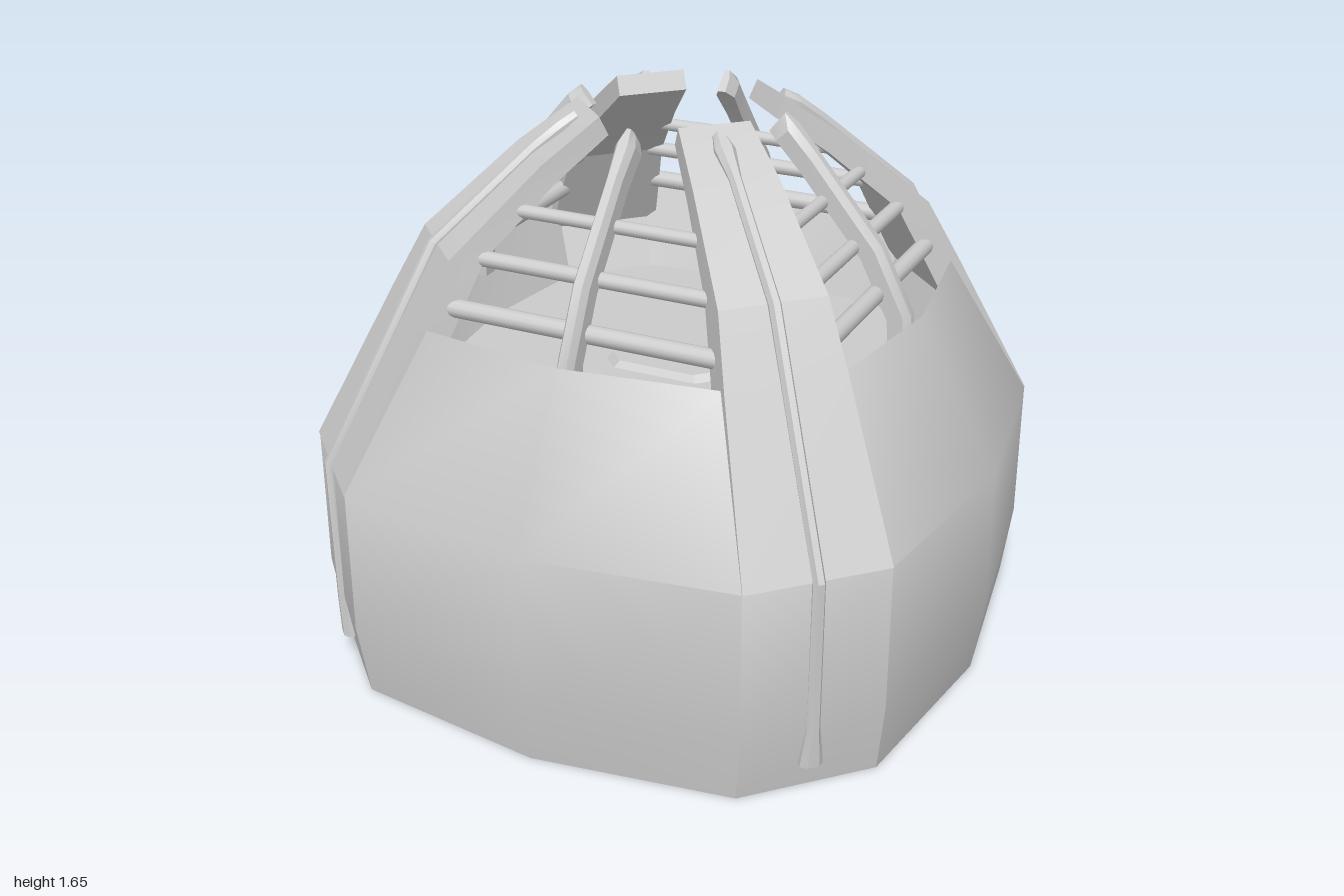
import * as THREE from 'three';
import { toCreasedNormals } from 'three/addons/utils/BufferGeometryUtils.js';

const material = new THREE.MeshStandardMaterial({ color: 0xcccccc });

// Closed skin over a stack of equal-length loops, each ordered from +z towards +x
function loft(loops, crease) {
  const pos = [];
  const tri = (a, b, c) => pos.push(...a, ...b, ...c);
  const n = loops[0].length;
  for (let k = 0; k < loops.length - 1; k++) {
    for (let i = 0; i < n; i++) {
      const j = (i + 1) % n, lo = loops[k], hi = loops[k + 1];
      tri(lo[i], lo[j], hi[j]);
      tri(lo[i], hi[j], hi[i]);
    }
  }
  const first = loops[0], last = loops[loops.length - 1];
  for (let i = 1; i < n - 1; i++) {
    tri(first[0], first[i + 1], first[i]);
    tri(last[0], last[i], last[i + 1]);
  }
  const g = new THREE.BufferGeometry();
  g.setAttribute('position', new THREE.Float32BufferAttribute(pos, 3));
  return toCreasedNormals(g, crease);
}

// Twelve-sided plan: mid = distance of side middles, (a, b) = corner position
function plan(y, mid, a, b) {
  const loop = [];
  for (let q = 0; q < 4; q++) {
    const c = Math.round(Math.cos(q * Math.PI / 2)), s = Math.round(Math.sin(q * Math.PI / 2));
    for (const [x, z] of [[0, mid], [a, b], [b, a]]) loop.push([x * c + z * s, y, z * c - x * s]);
  }
  return loop;
}

// Slim bevelled spine along a path of [distance, height, halfWidth]
function spine(path, depth) {
  const loops = path.map(([u, y, h], i) => {
    const p = path[Math.max(i - 1, 0)], q = path[Math.min(i + 1, path.length - 1)];
    const du = q[0] - p[0], dy = q[1] - p[1], len = Math.hypot(du, dy);
    const at = (x, d) => [x, y + du / len * d, u - dy / len * d];
    return [at(-h * 0.5, 0), at(h * 0.5, 0), at(h, depth * 0.3), at(h, depth), at(-h, depth), at(-h, depth * 0.3)];
  });
  return loft(loops, 0.4);
}

export function createModel() {
  const model = new THREE.Group();
  const add = (name, geometry, angle = 0) => {
    const mesh = new THREE.Mesh(geometry, material);
    mesh.name = name;
    mesh.rotation.y = angle;
    model.add(mesh);
    return mesh;
  };

  // Bulging shell with a sunken floor inside the rim
  add('shell', loft([
    plan(0, 0.97, 0.59, 0.885),
    plan(0.22, 1, 0.61, 0.91),
    plan(0.66, 1, 0.61, 0.91),
    plan(1.11, 0.755, 0.47, 0.69),
    plan(0.85, 0.66, 0.41, 0.61),
  ], 0.57));

  // Raised plate in the middle of the floor
  const plate = (y, r) => [[-1, 1], [1, 1], [1, -1], [-1, -1]].flatMap(([sx, sz]) => {
    const cut = [[sx * (r - 0.05), y, sz * r], [sx * r, y, sz * (r - 0.05)]];
    return sx * sz > 0 ? cut : cut.reverse();
  });
  add('floorPlate', loft([plate(0.84, 0.19), plate(0.87, 0.17)], 0.3));

  // Corner ribs: outer distance and height, inner distance and height, half width
  const rib = loft([
    [1.078, 0.66, 0.98, 0.62, 0.212],
    [0.835, 1.11, 0.74, 1.08, 0.175],
    [0.73, 1.3, 0.63, 1.29, 0.155],
    [0.45, 1.535, 0.41, 1.48, 0.125],
    [0.276, 1.65, 0.25, 1.595, 0.105],
  ].map(([ou, oy, iu, iy, h]) => [[-h, oy, ou], [h, oy, ou], [h, iy, iu], [-h, iy, iu]]), 0.2);

  const ribSpine = spine([
    [1.085, 0.08, 0.035], [1.09, 0.2, 0.02], [1.095, 0.66, 0.018], [0.75, 1.31, 0.018],
    [0.45, 1.56, 0.018], [0.37, 1.62, 0.03], [0.32, 1.645, 0.018],
  ], 0.05);

  // Free-standing spines between the ribs
  const sideSpine = spine([
    [0.735, 1.0, 0.026], [0.725, 1.11, 0.026], [0.63, 1.3, 0.026],
    [0.43, 1.54, 0.024], [0.36, 1.62, 0.03], [0.325, 1.648, 0.012],
  ], 0.07);

  // Cross bars: height, distance, half length, radius
  const bars = [[1.16, 0.62, 0.45, 0.027], [1.29, 0.545, 0.375, 0.023], [1.41, 0.45, 0.3, 0.02]];

  for (let q = 0; q < 4; q++) {
    const side = q * Math.PI / 2, corner = side + Math.PI / 4;
    add('cornerRib', rib, corner);
    add('ribSpine', ribSpine, corner);
    add('sideSpine', sideSpine, side);
    for (const [y, z, half, r] of bars) {
      const bar = new THREE.CylinderGeometry(r, r, half * 2, 12);
      bar.rotateZ(Math.PI / 2).translate(0, y, z);
      add('crossBar', bar, side);
    }
  }
  return model;
}
